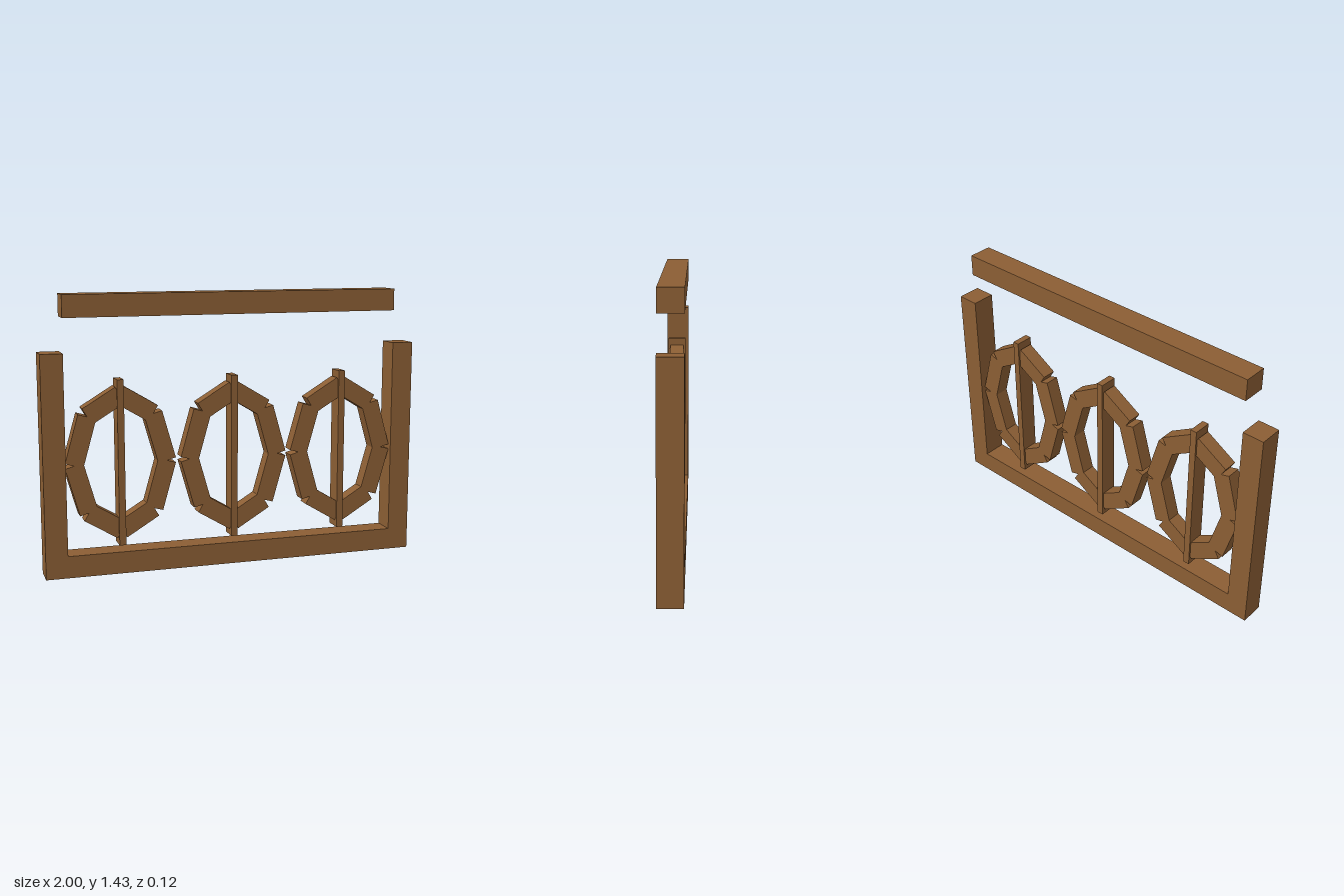
import * as THREE from 'three';

const wood = new THREE.MeshStandardMaterial({ color: 0x8b5e34 });
wood.name = 'brownWood';

function beam(parent, name, size, pos, angle = 0) {
  const mesh = new THREE.Mesh(new THREE.BoxGeometry(...size), wood);
  mesh.name = name;
  mesh.position.set(...pos);
  mesh.rotation.z = angle;
  parent.add(mesh);
}

// Oval of eight straight blocks, each lying on a chord of an ellipse
function ovalPanel(x) {
  const panel = new THREE.Group();
  panel.name = 'ovalPanel';
  panel.position.set(x, 0.573, 0);
  const a = 0.24, b = 0.35, sides = 8;
  const point = (i) => {
    const t = (i / sides) * Math.PI * 2;
    return new THREE.Vector2(a * Math.cos(t), b * Math.sin(t));
  };
  for (let i = 0; i < sides; i++) {
    const p = point(i), q = point(i + 1);
    const mid = p.clone().add(q).multiplyScalar(0.5);
    const d = q.clone().sub(p);
    beam(panel, 'ovalBlock', [d.length(), 0.096, 0.076], [mid.x, mid.y, 0], Math.atan2(d.y, d.x));
  }
  // Upright bar through the middle of the oval
  beam(panel, 'spindle', [0.035, 0.857, 0.095], [0, 0, 0]);
  return panel;
}

export function createModel() {
  const railing = new THREE.Group();
  railing.name = 'railing';
  const depth = 0.125, post = 0.114, height = 1.143;

  // End posts
  for (const s of [1, -1]) {
    beam(railing, s > 0 ? 'leftPost' : 'rightPost', [post, height, depth], [s * (1 - post / 2), height / 2, 0]);
  }
  // Rails, the upper one raised clear of the posts
  const span = 2 - 2 * post;
  beam(railing, 'bottomRail', [span, post, depth], [0, post / 2, 0]);
  beam(railing, 'topRail', [span, post, depth], [0, 1.374, 0]);

  for (const x of [-0.6, 0, 0.6]) railing.add(ovalPanel(x));
  return railing;
}
